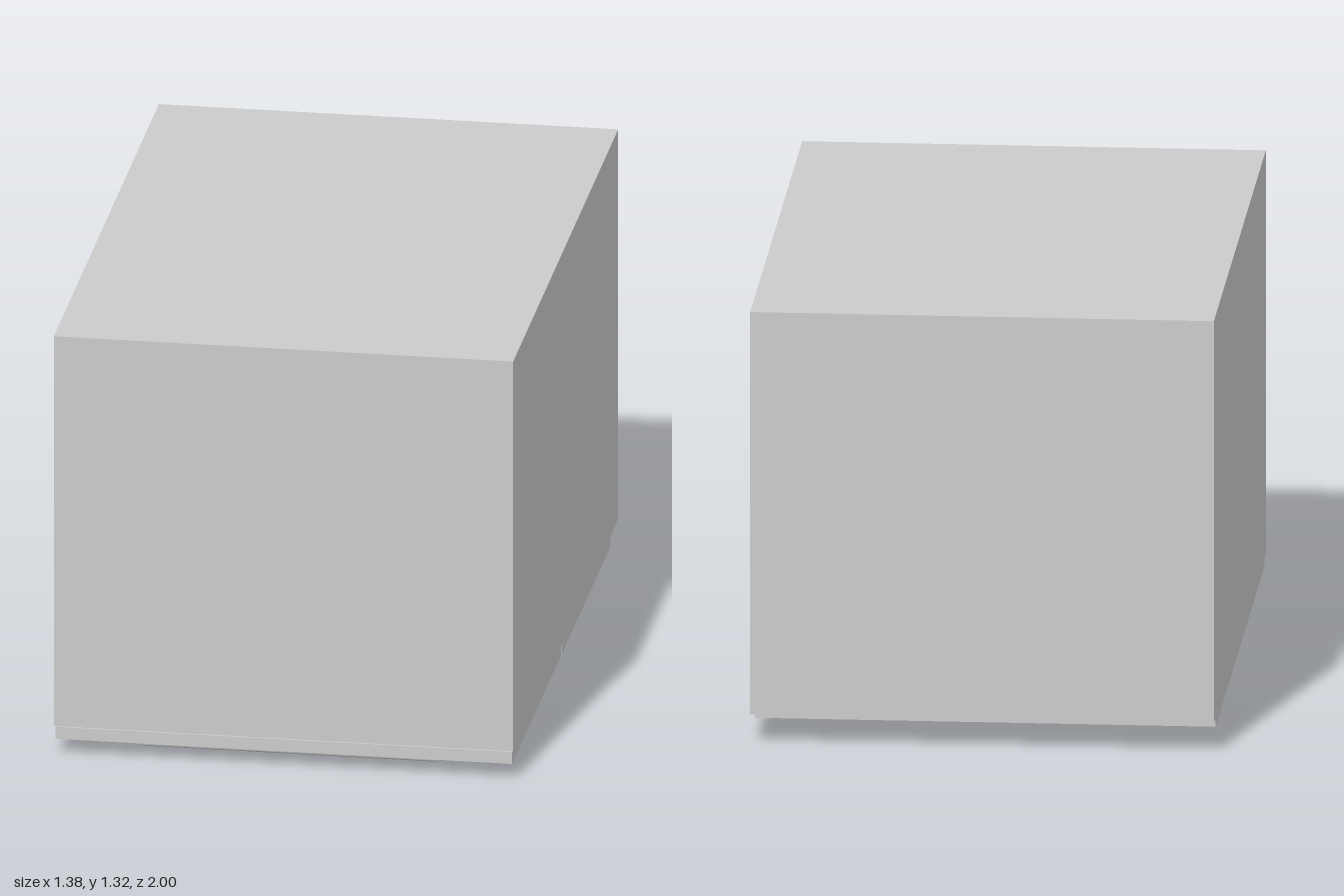
import * as THREE from 'three';

const material = new THREE.MeshStandardMaterial({ color: 0xcccccc });

export function createModel() {
  const model = new THREE.Group();
  model.name = 'drawerCabinet';

  const add = (parent, name, geometry, x, y, z) => {
    const mesh = new THREE.Mesh(geometry, material);
    mesh.name = name;
    mesh.position.set(x, y, z);
    parent.add(mesh);
    return mesh;
  };

  // Box given by its lower and upper corners
  const addBox = (parent, name, [x0, y0, z0], [x1, y1, z1]) =>
    add(parent, name, new THREE.BoxGeometry(x1 - x0, y1 - y0, z1 - z0),
      (x0 + x1) / 2, (y0 + y1) / 2, (z0 + z1) / 2);

  // Cabinet lying on its drawer side
  addBox(model, 'cabinetBody', [-0.69, 0.091, -1], [0.69, 1.325, 1]);

  // Two drawers facing down, each with a bar handle and a small blank plate
  for (const [side, front] of [['upper', 0.995], ['lower', 0.053]]) {
    const drawer = new THREE.Group();
    drawer.name = side + 'Drawer';
    drawer.position.z = front;
    model.add(drawer);

    addBox(drawer, 'drawerPanel', [-0.686, 0.049, -0.932], [0.686, 0.087, 0]);

    const handle = new THREE.Group();
    handle.name = 'handle';
    handle.position.z = -0.116;
    drawer.add(handle);

    const bar = new THREE.CylinderGeometry(0.011, 0.011, 0.885, 24);
    add(handle, 'handleBar', bar.rotateZ(Math.PI / 2), 0, 0.011, 0);
    for (const s of [-1, 1]) {
      add(handle, 'handlePost', new THREE.CylinderGeometry(0.0075, 0.0075, 0.04, 16), s * 0.426, 0.031, 0);
    }

    addBox(drawer, 'blankPlate', [0.388, 0.0425, -0.056], [0.522, 0.046, -0.042]);
  }

  return model;
}
